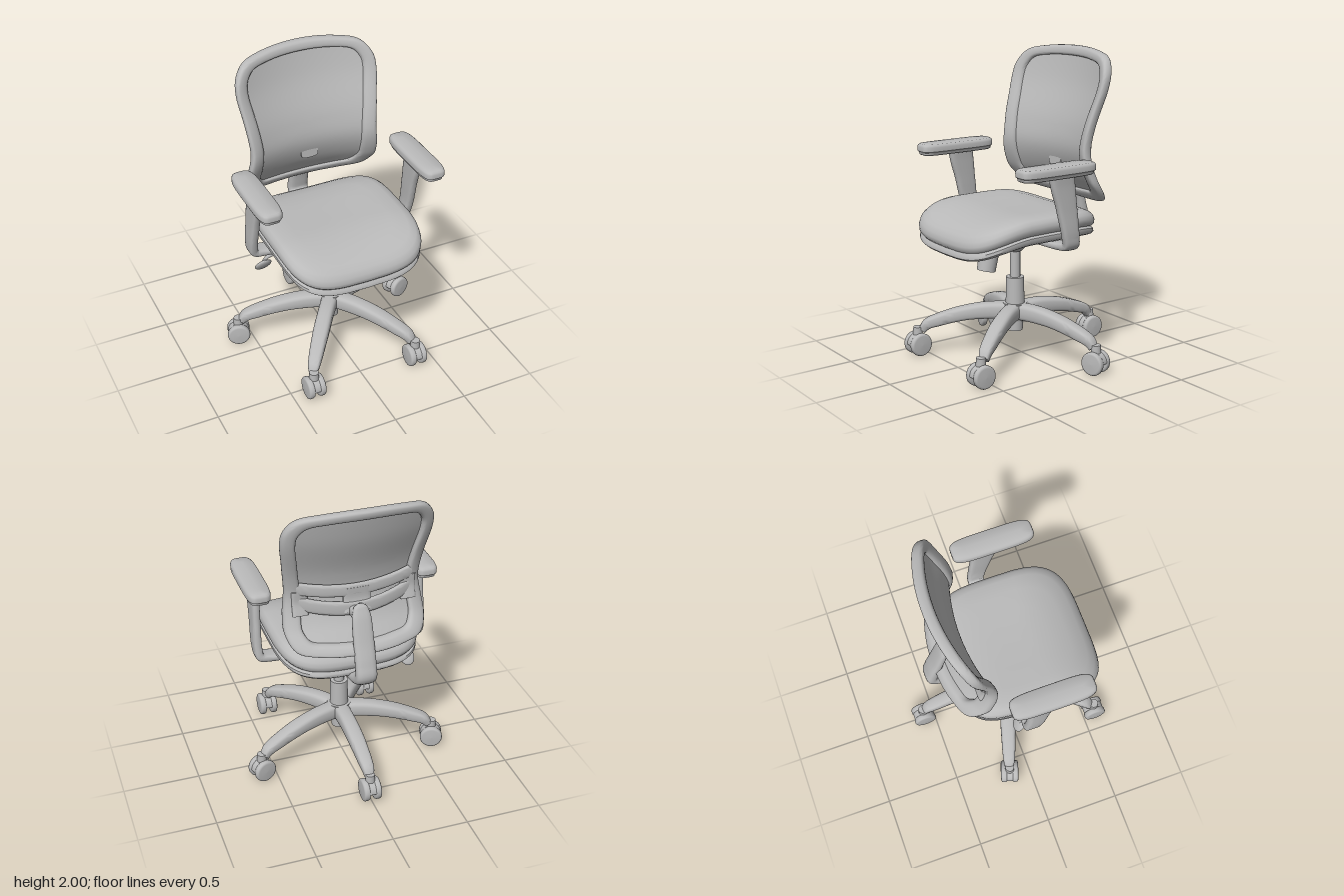
import * as THREE from 'three';
import { toCreasedNormals } from 'three/addons/utils/BufferGeometryUtils.js';

const V = (x, y, z) => new THREE.Vector3(x, y, z);

// Rounded cross-section: unit superellipse with n points
function section(n, e) {
  return Array.from({ length: n }, (_, i) => {
    const a = (i / n) * Math.PI * 2, c = Math.cos(a), s = Math.sin(a);
    return [Math.sign(c) * Math.abs(c) ** (2 / e), Math.sign(s) * Math.abs(s) ** (2 / e)];
  });
}

// Skin a list of equal-sized rings; either cap the ends or join them in a loop
function loft(rings, loop = false, capped = true) {
  const n = rings[0].length, m = rings.length, pos = [], idx = [];
  rings.forEach(r => r.forEach(p => pos.push(p.x, p.y, p.z)));
  for (let i = 0; i < (loop ? m : m - 1); i++) {
    for (let j = 0; j < n; j++) {
      const a = i * n + j, b = i * n + (j + 1) % n;
      const c = ((i + 1) % m) * n + j, d = ((i + 1) % m) * n + (j + 1) % n;
      idx.push(a, b, d, a, d, c);
    }
  }
  if (!loop && capped) {
    [0, m - 1].forEach(k => {
      const mid = V(0, 0, 0);
      rings[k].forEach(p => mid.addScaledVector(p, 1 / n));
      const c = pos.length / 3;
      pos.push(mid.x, mid.y, mid.z);
      for (let j = 0; j < n; j++) {
        const a = k * n + j, b = k * n + (j + 1) % n;
        if (k === 0) idx.push(c, b, a); else idx.push(c, a, b);
      }
    });
  }
  // Turn the faces outward if the enclosed volume is negative
  let vol = 0;
  const at = i => V(pos[3 * i], pos[3 * i + 1], pos[3 * i + 2]);
  for (let i = 0; i < idx.length; i += 3) vol += at(idx[i]).dot(at(idx[i + 1]).cross(at(idx[i + 2])));
  if (vol < 0) idx.reverse();
  const g = new THREE.BufferGeometry();
  g.setAttribute('position', new THREE.Float32BufferAttribute(pos, 3));
  g.setIndex(idx);
  return toCreasedNormals(g, 0.8);
}

// Sweep a rounded section along [x, y, z, halfWidth, halfThickness] stations
function sweep(stations, side, e = 3.5, steps = 28) {
  const path = new THREE.CatmullRomCurve3(stations.map(s => V(s[0], s[1], s[2])));
  const size = new THREE.CatmullRomCurve3(stations.map(s => V(s[3], s[4], 0)), false, 'catmullrom', 0.3);
  const sec = section(20, e), rings = [];
  for (let i = 0; i <= steps; i++) {
    const p = path.getPoint(i / steps), s = size.getPoint(i / steps);
    const normal = path.getTangent(i / steps).cross(side).normalize();
    rings.push(sec.map(([u, v]) => p.clone().addScaledVector(side, u * s.x).addScaledVector(normal, v * s.y)));
  }
  return loft(rings);
}

// Stack of rounded outlines, each [inset, y], with an optional height rule
function cushion(hx, hz, e, profile, lift = () => 0) {
  const sec = section(72, e);
  return loft(profile.map(([inset, y]) => sec.map(([u, v]) => {
    const x = u * Math.max(hx - inset, 0.002), z = v * Math.max(hz - inset, 0.002);
    return V(x, y + lift(x, z), z);
  })));
}

// Front surface of the backrest: curved in height, wrapped forward at the sides
const sideZ = new THREE.CubicInterpolant(
  [1.0, 1.1, 1.19, 1.35, 1.5, 1.77, 1.87, 2.02],
  [-0.315, -0.255, -0.195, -0.143, -0.162, -0.257, -0.284, -0.318], 1);
const backZ = (x, y) => sideZ.evaluate(y)[0] - 0.09 * (1 - (x / 0.47) ** 2);

// Closed outline mirrored from its right half
function outline(half) {
  const left = half.slice(1, -1).reverse().map(([x, y]) => [-x, y]);
  return new THREE.CatmullRomCurve3([...half, ...left].map(([x, y]) => V(x, y, 0)), true);
}

export function createModel() {
  const model = new THREE.Group();
  model.name = 'officeChair';
  const grey = new THREE.MeshStandardMaterial({ color: 0xbababa, side: THREE.DoubleSide });
  grey.name = 'grey';
  const X = V(1, 0, 0), Y = V(0, 1, 0), Z = V(0, 0, 1);
  const add = (name, geo, parent = model, x = 0, y = 0, z = 0) => {
    const mesh = new THREE.Mesh(geo, grey);
    mesh.name = name;
    mesh.position.set(x, y, z);
    parent.add(mesh);
    return mesh;
  };
  const cyl = (rt, rb, h) => new THREE.CylinderGeometry(rt, rb, h, 32);
  const group = (name, x, y, z) => {
    const g = new THREE.Group();
    g.name = name;
    g.position.set(x, y, z);
    model.add(g);
    return g;
  };

  // Five-star base with hooded twin-wheel casters
  const baseZ = 0.05;
  const legGeo = sweep([[0, 0.3, 0, 0.055, 0.055], [0, 0.3, -0.18, 0.052, 0.053], [0, 0.28, -0.34, 0.052, 0.046],
    [0, 0.235, -0.5, 0.046, 0.04], [0, 0.205, -0.575, 0.04, 0.034], [0, 0.165, -0.61, 0.03, 0.026]], X);
  const wheelGeo = new THREE.LatheGeometry([[0, -0.02], [0.06, -0.02], [0.071, -0.015], [0.075, -0.007],
    [0.075, 0.013], [0.071, 0.02], [0.06, 0.024], [0, 0.026]].map(p => new THREE.Vector2(...p)), 32).rotateZ(-Math.PI / 2);
  const hoodGeo = new THREE.CylinderGeometry(0.07, 0.07, 0.05, 24, 1, false, 0, Math.PI).rotateZ(Math.PI / 2);
  const casterSpots = [[0, -0.575], [-0.6, -0.142], [-0.367, 0.572], [0.367, 0.572], [0.6, -0.142]];
  casterSpots.forEach(([x, z], k) => {
    const a = (k * 2 * Math.PI) / 5;
    add('baseLeg', legGeo, model, 0, 0, baseZ).rotation.y = a;
    const caster = group('caster', x, 0, z);
    caster.rotation.y = k === 2 || k === 3 ? 0 : a;
    for (const s of [-1, 1]) add('casterWheel', wheelGeo, caster, s * 0.036, 0.075, 0).rotation.y = s < 0 ? Math.PI : 0;
    add('casterHood', hoodGeo, caster, 0, 0.075, 0);
    add('casterStem', cyl(0.03, 0.032, 0.07), caster, 0, 0.155, 0);
  });

  // Hub, gas lift and tilt mechanism
  add('hub', cyl(0.08, 0.06, 0.12), model, 0, 0.295, baseZ);
  add('hubBottom', cyl(0.055, 0.05, 0.1), model, 0, 0.22, baseZ);
  add('liftSleeve', cyl(0.058, 0.062, 0.2), model, 0, 0.43, baseZ);
  add('liftPiston', cyl(0.034, 0.034, 0.26), model, 0, 0.63, baseZ);
  add('mechanismCone', cyl(0.12, 0.045, 0.08), model, 0, 0.745, baseZ);
  add('mechanismBody', sweep([[0, 0.815, 0.27, 0.09, 0.04], [0, 0.815, 0.1, 0.12, 0.045],
    [0, 0.815, -0.22, 0.1, 0.04]], X, 6));

  // Tension knob
  const knob = group('tensionKnob', 0, 0.69, 0.26);
  knob.rotation.x = -0.2;
  add('knobGrip', cyl(0.064, 0.06, 0.1), knob, 0, -0.035, 0);
  add('knobCollar', cyl(0.056, 0.064, 0.03), knob, 0, 0.03, 0);
  add('knobNeck', cyl(0.052, 0.052, 0.11), knob, 0, 0.085, 0);

  // Height lever with paddle
  const lever = new THREE.CatmullRomCurve3([V(0.1, 0.765, -0.02), V(-0.2, 0.755, -0.01), V(-0.38, 0.752, 0),
    V(-0.43, 0.74, 0), V(-0.45, 0.69, -0.02)]);
  add('leverRod', new THREE.TubeGeometry(lever, 32, 0.013, 10));
  const paddle = add('leverPaddle', new THREE.SphereGeometry(1, 24, 16), model, -0.45, 0.668, -0.025);
  paddle.scale.set(0.052, 0.068, 0.018);
  paddle.rotation.set(0.6, 0, -0.3);

  // Seat pan with a recessed underside, and cushion, drooping at the front edge
  const seatZ = 0.12;
  const dish = (x, lz) => {
    const z = lz + seatZ, rise = 0.022 * (x / 0.47) ** 2;
    return rise + (z > 0.2 ? -0.1 * ((z - 0.2) / 0.4) ** 2 : z < -0.1 ? -0.04 * ((z + 0.1) / 0.26) ** 2 : 0);
  };
  add('seatPan', cushion(0.47, 0.48, 4, [[0.47, 0.86], [0.3, 0.86], [0.12, 0.858], [0.085, 0.846], [0.065, 0.838],
    [0.04, 0.838], [0.018, 0.848], [0.005, 0.866], [0.006, 0.886], [0.025, 0.9], [0.47, 0.9]], dish), model, 0, 0, seatZ);
  add('seatCushion', cushion(0.47, 0.48, 4, [[0.47, 0.89], [0.05, 0.89], [0.015, 0.9], [0.002, 0.92], [0, 0.945],
    [0.008, 0.972], [0.03, 0.992], [0.07, 1.005], [0.16, 1.011], [0.28, 1.012], [0.38, 1.011], [0.47, 1.011]], dish),
  model, 0, 0, seatZ);

  // Backrest frame
  const outer = outline([[0, 2], [0.25, 1.985], [0.4, 1.95], [0.465, 1.87], [0.478, 1.78], [0.455, 1.6], [0.435, 1.4],
    [0.452, 1.25], [0.455, 1.15], [0.41, 1.06], [0.28, 1.03], [0, 1.02]]);
  const inner = outline([[0, 1.935], [0.22, 1.925], [0.34, 1.9], [0.388, 1.84], [0.395, 1.77], [0.37, 1.6], [0.345, 1.4],
    [0.348, 1.25], [0.348, 1.17], [0.31, 1.11], [0.22, 1.095], [0, 1.085]]);
  const N = 110, rim = section(20, 3), frame = [], fabric = [];
  for (let i = 0; i < N; i++) {
    const o = outer.getPoint(i / N), q = inner.getPoint(i / N);
    frame.push(rim.map(([u, v]) => {
      const p = q.clone().lerp(o, (u + 1) / 2);
      return p.setZ(backZ(p.x, p.y) - 0.036 + v * 0.036);
    }));
  }
  add('backFrame', loft(frame, true));

  // Mesh fabric stretched inside the frame
  for (let k = 0; k <= 12; k++) {
    fabric.push(Array.from({ length: N }, (_, i) => {
      const p = V(0, 1.5, 0).lerp(inner.getPoint(i / N), 0.001 + (k / 12) * 1.03);
      return p.setZ(backZ(p.x, p.y) - 0.025);
    }));
  }
  add('backFabric', loft(fabric, false, false));

  // Lumbar bars behind the fabric, joined at the middle and the ends
  const bar = (name, y0, bend, hw) => add(name, sweep([-0.37, -0.28, -0.19, -0.1, 0, 0.1, 0.19, 0.28, 0.37].map(x => {
    const y = y0 + bend * (x / 0.37) ** 2;
    return [x, y, backZ(x, y) - 0.056, hw, 0.017];
  }), Y));
  bar('upperLumbarBar', 1.4, 0.04, 0.04);
  bar('lowerLumbarBar', 1.28, 0.06, 0.045);
  for (const x of [-0.35, 0, 0.35]) {
    add('lumbarLink', sweep([1.26, 1.34, 1.42].map(y => [x, y, backZ(x, y) - 0.056, x ? 0.05 : 0.09, 0.016]), X));
  }
  add('supportMount', sweep([[0, 1.27, -0.27, 0.06, 0.04], [0, 1.265, -0.365, 0.055, 0.04]], X));

  // Back support arm from the mechanism up to the lumbar bars
  add('backSupport', sweep([[0, 0.805, 0, 0.07, 0.03], [0, 0.8, -0.26, 0.07, 0.032], [0, 0.825, -0.4, 0.07, 0.035],
    [0, 0.875, -0.475, 0.068, 0.04], [0, 0.96, -0.465, 0.067, 0.036], [0, 1.1, -0.425, 0.066, 0.03],
    [0, 1.24, -0.385, 0.062, 0.026], [0, 1.31, -0.362, 0.045, 0.02], [0, 1.335, -0.355, 0.015, 0.01]], X, 3, 48));

  // Armrests
  const padGeo = cushion(0.08, 0.273, 4.5, [[0.08, 1.285], [0.02, 1.285], [0.012, 1.29], [0.01, 1.305], [0.001, 1.312],
    [0, 1.34], [0.004, 1.352], [0.014, 1.36], [0.08, 1.362]]);
  for (const s of [-1, 1]) {
    const arm = group('armrest', 0.005, 0, 0);
    add('armPad', padGeo, arm, s * 0.55, 0, 0.147);
    add('armPost', sweep([[0.1, 0.82, 0.03, 0.06, 0.024], [0.3, 0.825, 0.03, 0.055, 0.022], [0.48, 0.832, 0.025, 0.054, 0.024],
      [0.54, 0.848, 0.025, 0.055, 0.028], [0.553, 0.91, 0.037, 0.059, 0.028], [0.552, 1.08, 0.067, 0.071, 0.027],
      [0.55, 1.22, 0.095, 0.085, 0.027], [0.55, 1.3, 0.108, 0.088, 0.03]].map(([x, ...r]) => [s * x, ...r]), Z, 4, 48), arm);
  }
  return model;
}
